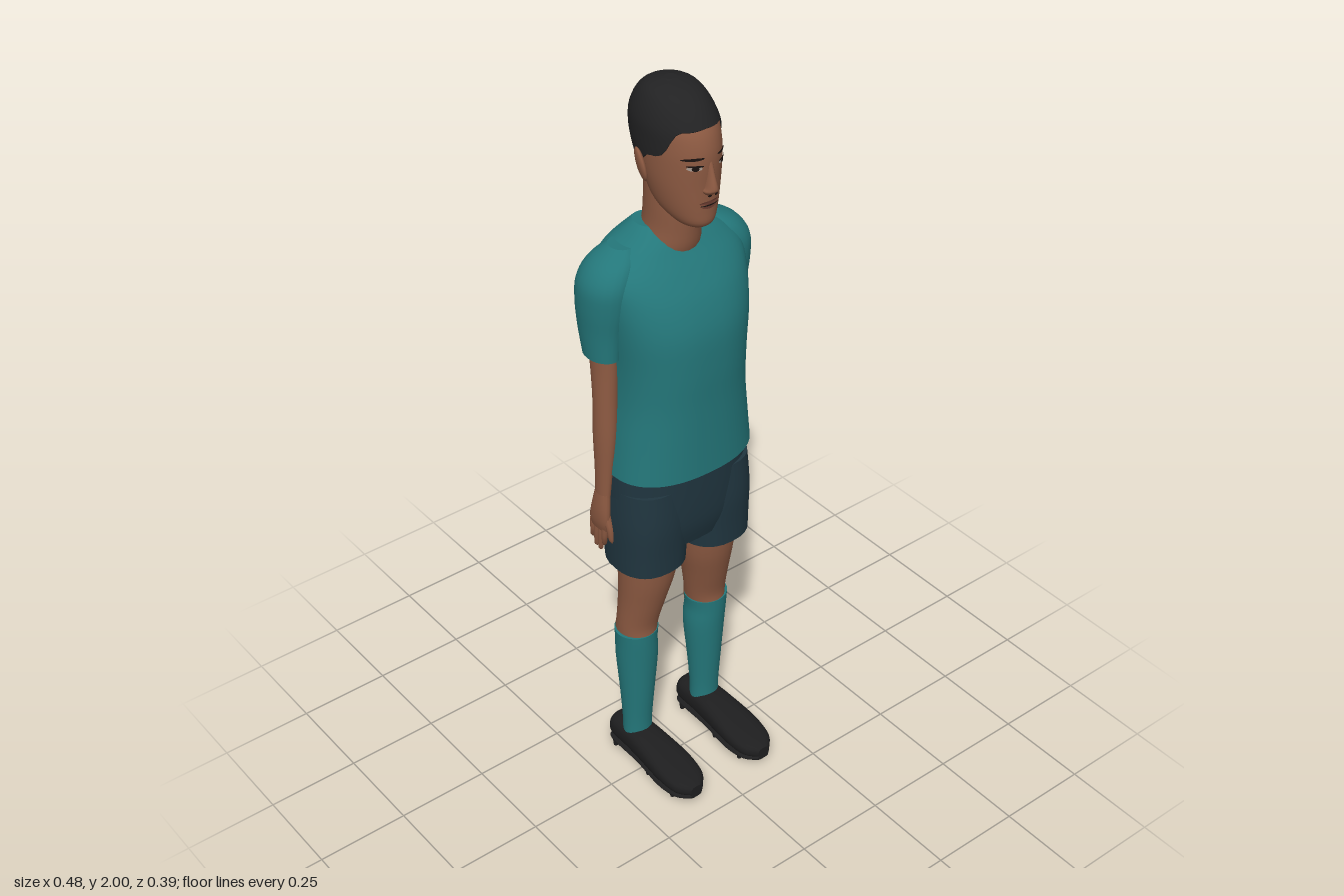
import * as THREE from 'three';

const mat = (name, color) => Object.assign(new THREE.MeshStandardMaterial({ color }), { name });

// Catmull-Rom interpolation through rows of numbers, t in 0..1
function sample(rows, t) {
  const n = rows.length - 1, f = Math.min(t * n, n - 1e-9), i = Math.floor(f), u = f - i;
  const at = (k) => rows[Math.max(0, Math.min(n, k))];
  return rows[0].map((_, c) => {
    const a = at(i - 1)[c], b = at(i)[c], d = at(i + 1)[c], e = at(i + 2)[c];
    return b + 0.5 * u * (d - a + u * (2 * a - 5 * b + 4 * d - e + u * (3 * (b - d) + e - a)));
  });
}

// Surface from a function of angle share (0 = front, towards +x) and height share
function surface(point, cols, rows, caps = true) {
  const pos = [], idx = [];
  for (let i = 0; i <= rows; i++)
    for (let j = 0; j < cols; j++) pos.push(...point((j / cols) * Math.PI * 2, i / rows));
  for (let i = 0; i < rows; i++)
    for (let j = 0; j < cols; j++) {
      const k = (j + 1) % cols, a = i * cols + j, b = i * cols + k;
      idx.push(a, b, a + cols, b, b + cols, a + cols);
    }
  // Flat end caps with their own vertices
  for (const end of caps ? [0, rows] : []) {
    const start = pos.length / 3, mid = [0, 0, 0];
    for (let j = 0; j < cols; j++) {
      const p = pos.slice((end * cols + j) * 3, (end * cols + j) * 3 + 3);
      p.forEach((v, c) => { mid[c] += v / cols; });
      pos.push(...p);
    }
    pos.push(...mid);
    for (let j = 0; j < cols; j++) {
      const a = start + j, b = start + ((j + 1) % cols), m = start + cols;
      idx.push(...(end ? [a, b, m] : [b, a, m]));
    }
  }
  const g = new THREE.BufferGeometry();
  g.setAttribute('position', new THREE.Float32BufferAttribute(pos, 3));
  g.setIndex(idx);
  g.computeVertexNormals();
  return g;
}

// Loft through rings of [x, y, z, half width, half depth]; power below 1 squares the section
function loft(rings, power = 1, cols = 24, tweak = null) {
  const bend = (v) => Math.sign(v) * Math.abs(v) ** power;
  return surface((a, t) => {
    const [x, y, z, w, d] = sample(rings, t);
    const p = [x + w * bend(Math.sin(a)), y, z + d * bend(Math.cos(a))];
    return tweak ? tweak(p) : p;
  }, cols, (rings.length - 1) * 4);
}

// Rows of [y, front z, back z, half width] as rings
const body = (rows) => rows.map(([y, f, b, w]) => [0, y, (f + b) / 2, w, (f - b) / 2]);

const HEAD = body([
  [1.668, 0.065, 0.0, 0.022], [1.685, 0.087, -0.03, 0.045], [1.72, 0.091, -0.085, 0.066],
  [1.78, 0.093, -0.115, 0.08], [1.84, 0.097, -0.145, 0.086], [1.88, 0.094, -0.156, 0.087],
  [1.92, 0.08, -0.153, 0.085], [1.96, 0.048, -0.133, 0.071], [1.985, 0.008, -0.103, 0.05],
  [1.996, -0.04, -0.06, 0.012],
]);

// Head ring at a given height
function headAt(y) {
  let lo = 0, hi = 1;
  for (let i = 0; i < 30; i++) {
    const m = (lo + hi) / 2;
    if (sample(HEAD, m)[1] < y) lo = m; else hi = m;
  }
  return sample(HEAD, lo);
}

// Thin oval lying on the face
function facePatch(x, y, rx, ry, tilt = 0, lift = 0.002) {
  const g = new THREE.CircleGeometry(1, 20).scale(rx, ry, 1).rotateZ(tilt).translate(x, y, 0);
  const p = g.attributes.position;
  for (let i = 0; i < p.count; i++) {
    const [, , cz, w, d] = headAt(p.getY(i));
    p.setZ(i, cz + d * Math.sqrt(Math.max(0, 1 - (p.getX(i) / w) ** 2)) + lift);
  }
  g.computeVertexNormals();
  return g;
}

export function createModel() {
  const root = new THREE.Group();
  const teal = mat('teal cloth', 0x24777a), navy = mat('dark shorts cloth', 0x20353f);
  const skin = mat('skin', 0x8d5a42), hairMat = mat('black hair', 0x222223);
  const boot = mat('black boot', 0x1e1e1f), dark = mat('dark eye', 0x1a1210);
  const lip = mat('lip', 0x6b3d31), white = mat('eye white', 0xa89a90);
  const add = (name, geo, m, parent = root) => {
    const mesh = new THREE.Mesh(geo, m);
    mesh.name = name;
    parent.add(mesh);
    return mesh;
  };

  // Head, neck and nose
  const head = new THREE.Group();
  head.name = 'head';
  root.add(head);
  add('skull', loft(HEAD, 1, 40), skin, head);
  add('neck', loft(body([[1.54, 0.0, -0.13, 0.075], [1.59, 0.022, -0.138, 0.073],
    [1.64, 0.03, -0.125, 0.064], [1.7, 0.035, -0.12, 0.062], [1.76, 0.03, -0.118, 0.06]])), skin, head);
  add('nose', loft([[0, 1.766, 0.088, 0.012, 0.012], [0, 1.776, 0.09, 0.019, 0.022],
    [0, 1.787, 0.093, 0.014, 0.023], [0, 1.82, 0.09, 0.009, 0.016],
    [0, 1.855, 0.086, 0.008, 0.009]], 1, 16), skin, head);

  // Hair cap: low at the nape, sideburns at the ears, straight brow line
  const hairline = [[1.925], [1.922], [1.915], [1.86], [1.845], [1.80], [1.765], [1.75], [1.748]];
  add('hair', surface((a, t) => {
    const low = sample(hairline, Math.min(a, Math.PI * 2 - a) / Math.PI)[0];
    const [, y, z, w, d] = headAt(low + (1.996 - low) * Math.sin((t * Math.PI) / 2));
    const o = 0.004;
    return [(w + o) * Math.sin(a), y + o * t, z + (d + o) * Math.cos(a)];
  }, 48, 20), hairMat, head);

  // Mouth
  add('upperLip', facePatch(0, 1.744, 0.026, 0.005), lip, head);
  add('lowerLip', facePatch(0, 1.734, 0.02, 0.005), lip, head);
  add('mouthLine', facePatch(0, 1.739, 0.026, 0.0018, 0, 0.004), dark, head);

  // Shirt body, with a shallow groove along the spine
  add('shirtBody', loft(body([
    [0.995, 0.105, -0.17, 0.197], [1.1, 0.106, -0.18, 0.186], [1.2, 0.108, -0.185, 0.176],
    [1.3, 0.112, -0.19, 0.176], [1.4, 0.109, -0.197, 0.186], [1.48, 0.086, -0.198, 0.195],
    [1.54, 0.052, -0.188, 0.195], [1.585, 0.02, -0.172, 0.16], [1.615, -0.002, -0.153, 0.11],
    [1.638, -0.03, -0.135, 0.076],
  ]), 0.85, 48, ([x, y, z]) => {
    const up = THREE.MathUtils.smoothstep(y, 1.1, 1.45);
    return [x, y, z < -0.08 ? z + 0.022 * up * Math.exp(-((x / 0.035) ** 2)) : z];
  }), teal);

  // Shorts: hips
  add('shortsHips', loft(body([[0.76, 0.06, -0.125, 0.15], [0.82, 0.075, -0.145, 0.185],
    [0.9, 0.08, -0.158, 0.195], [1.01, 0.08, -0.155, 0.192]]), 0.85, 40), navy);

  for (const s of [1, -1]) {
    const side = s > 0 ? 'left' : 'right';
    const limb = (name, rings, m, power = 1, cols = 24) =>
      add(side + name, loft(rings.map(([x, ...r]) => [x * s, ...r]), power, cols), m);

    // Face details
    add(side + 'EyeWhite', facePatch(s * 0.038, 1.838, 0.015, 0.006), white, head);
    add(side + 'Iris', facePatch(s * 0.038, 1.838, 0.007, 0.006, 0, 0.004), dark, head);
    add(side + 'Eyelid', facePatch(s * 0.038, 1.844, 0.017, 0.0025, 0, 0.004), dark, head);
    add(side + 'Eyebrow', facePatch(s * 0.04, 1.86, 0.022, 0.0035, s * -0.1), dark, head);
    add(side + 'Nostril', facePatch(s * 0.009, 1.768, 0.005, 0.003, 0, 0.012), dark, head);
    const ear = add(side + 'Ear', new THREE.SphereGeometry(1, 16, 12), skin, head);
    ear.scale.set(0.009, 0.042, 0.024);
    ear.position.set(s * 0.091, 1.815, -0.042);
    ear.rotation.set(-0.2, s * 0.35, s * -0.12);

    // Sleeve and arm
    limb('Sleeve', [[0.19, 1.33, -0.075, 0.04, 0.055], [0.187, 1.4, -0.08, 0.048, 0.066],
      [0.18, 1.47, -0.078, 0.06, 0.076], [0.174, 1.53, -0.075, 0.062, 0.076],
      [0.152, 1.575, -0.075, 0.054, 0.062], [0.125, 1.605, -0.078, 0.03, 0.035]], teal);
    limb('Arm', [[0.204, 0.92, -0.066, 0.015, 0.025], [0.2, 1.0, -0.064, 0.019, 0.028],
      [0.194, 1.1, -0.064, 0.027, 0.034], [0.19, 1.2, -0.065, 0.029, 0.034],
      [0.187, 1.29, -0.07, 0.03, 0.039], [0.187, 1.36, -0.074, 0.032, 0.042]], skin);

    // Hand with four fingers and a thumb
    limb('Palm', [[0.204, 0.812, -0.082, 0.01, 0.032], [0.207, 0.84, -0.077, 0.014, 0.036],
      [0.207, 0.88, -0.071, 0.016, 0.032], [0.204, 0.93, -0.066, 0.015, 0.025]], skin, 0.9, 16);
    for (let i = 0; i < 4; i++) {
      const z = -0.059 - i * 0.016, tip = [0.755, 0.732, 0.735, 0.755][i];
      limb('Finger' + (i + 1), [[0.197, tip, z - 0.014, 0.003, 0.003], [0.199, tip + 0.01, z - 0.012, 0.007, 0.007],
        [0.204, 0.79, z - 0.004, 0.008, 0.008], [0.205, 0.825, z, 0.009, 0.009]], skin, 1, 10);
    }
    limb('Thumb', [[0.198, 0.782, -0.04, 0.004, 0.004], [0.2, 0.795, -0.04, 0.008, 0.008],
      [0.203, 0.83, -0.042, 0.01, 0.01], [0.205, 0.87, -0.054, 0.011, 0.012]], skin, 1, 10);

    // Shorts leg, bare leg and sock
    limb('ShortsLeg', [[0.102, 0.705, -0.03, 0.096, 0.1], [0.101, 0.76, -0.032, 0.098, 0.104],
      [0.1, 0.85, -0.036, 0.1, 0.112], [0.098, 0.95, -0.04, 0.095, 0.11]], navy, 0.85, 28);
    limb('Leg', [[0.115, 0.38, -0.058, 0.046, 0.048], [0.115, 0.43, -0.06, 0.051, 0.06],
      [0.112, 0.48, -0.055, 0.056, 0.054], [0.104, 0.56, -0.044, 0.063, 0.063],
      [0.096, 0.65, -0.034, 0.074, 0.075], [0.092, 0.76, -0.03, 0.082, 0.085]], skin);
    limb('Sock', [[0.115, 0.08, -0.058, 0.041, 0.037], [0.115, 0.14, -0.058, 0.041, 0.038],
      [0.114, 0.24, -0.058, 0.047, 0.046], [0.113, 0.36, -0.059, 0.056, 0.056],
      [0.116, 0.42, -0.056, 0.056, 0.056], [0.116, 0.455, -0.055, 0.059, 0.056]], teal);

    // Boot: lofted heel to toe, rows of [z, bottom, top, half width]
    const lengthwise = (rows) => loft(rows.map(([z, b, t, w]) =>
      [s * 0.116, z, -(b + t) / 2, w, (t - b) / 2]), 0.75, 28).rotateX(Math.PI / 2);
    add(side + 'Boot', lengthwise([[-0.14, 0.035, 0.088, 0.027], [-0.122, 0.03, 0.104, 0.043],
      [-0.05, 0.03, 0.108, 0.046], [0.01, 0.03, 0.105, 0.05], [0.1, 0.03, 0.091, 0.056],
      [0.165, 0.03, 0.076, 0.047], [0.198, 0.035, 0.064, 0.018]]), boot);
    add(side + 'Sole', lengthwise([[-0.138, 0.022, 0.036, 0.028], [-0.115, 0.022, 0.036, 0.044],
      [0.0, 0.022, 0.036, 0.046], [0.1, 0.022, 0.036, 0.056], [0.165, 0.022, 0.036, 0.046],
      [0.196, 0.024, 0.036, 0.018]]), boot);
    for (const z of [0.135, 0.03, -0.115])
      for (const dx of [-0.032, 0.032])
        add(side + 'Stud', new THREE.CylinderGeometry(0.009, 0.006, 0.028, 10)
          .translate(s * 0.116 + dx, 0.014, z), boot);
  }
  return root;
}
